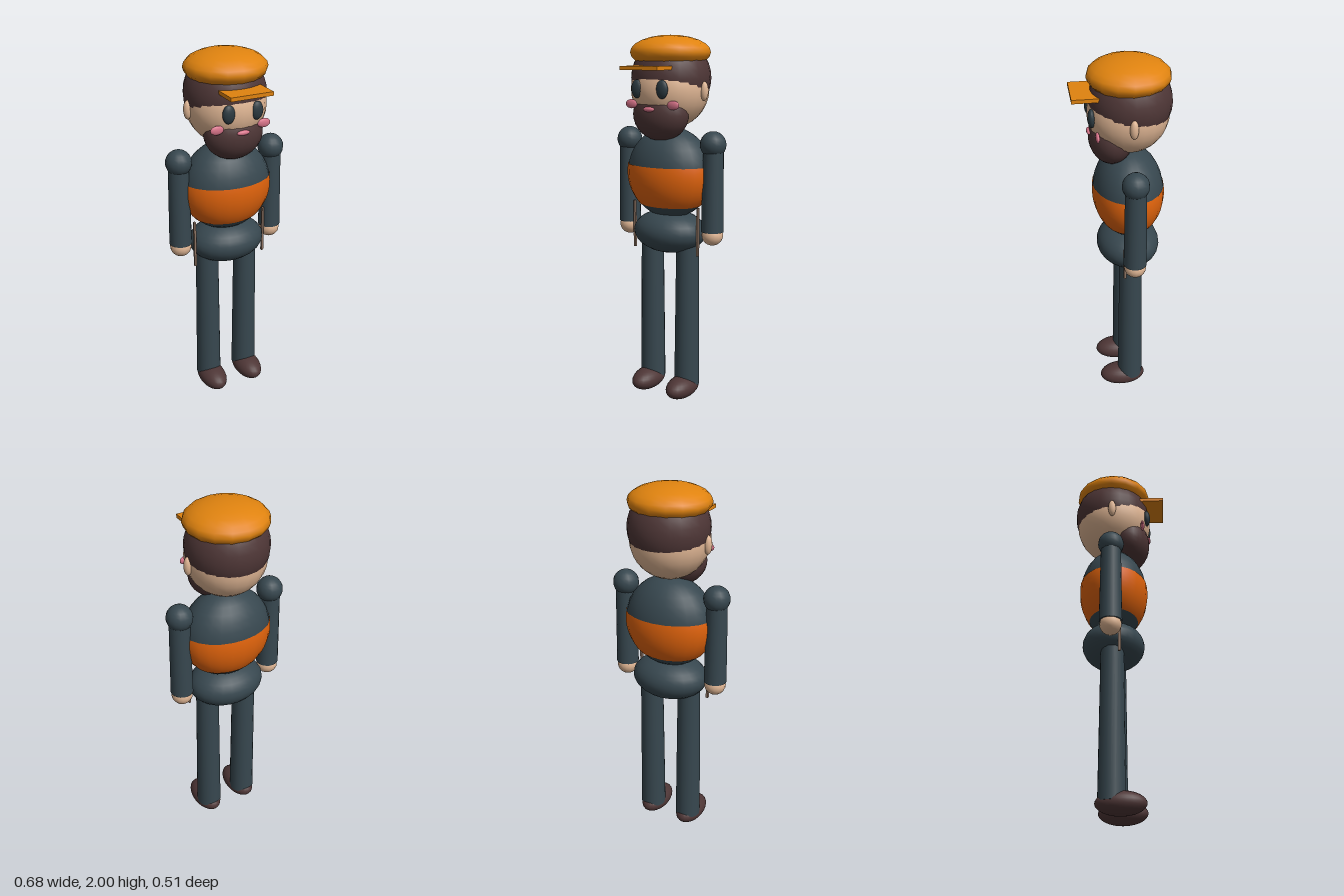
import * as THREE from 'three';

const mat = (name, color) => {
  const m = new THREE.MeshStandardMaterial({ color });
  m.name = name;
  return m;
};

export function createModel() {
  const slate = mat('slate cloth', 0x37474f);
  const vest = mat('orange vest', 0xe0630c);
  const hatMat = mat('amber cap', 0xe0830f);
  const skin = mat('skin', 0xe0b694);
  const brown = mat('dark brown', 0x4e3636);
  const pink = mat('pink', 0xd9748a);
  const eyeMat = mat('dark eye', 0x2c3a41);
  const wood = mat('wood', 0x8d7362);

  const group = new THREE.Group();
  const Z = -0.035; // body axis

  const add = (name, geometry, material, x, y, z) => {
    const mesh = new THREE.Mesh(geometry, material);
    mesh.name = name;
    mesh.position.set(x, y, z);
    group.add(mesh);
    return mesh;
  };
  const ball = (name, material, [x, y, z], [rx, ry, rz], w = 24, h = 16) =>
    add(name, new THREE.SphereGeometry(1, w, h).scale(rx, ry, rz), material, x, y, z);

  // Torso with a vest band cut from the same ellipsoid
  ball('torso', slate, [0, 1.27, Z], [0.248, 0.25, 0.187]);
  const bandTop = Math.acos((1.317 - 1.27) / 0.25);
  const bandBottom = Math.acos((1.095 - 1.27) / 0.25);
  const band = new THREE.SphereGeometry(1, 24, 8, 0, Math.PI * 2, bandTop, bandBottom - bandTop);
  const bandMesh = add('vestBand', band.scale(0.252, 0.25, 0.19), vest, 0, 1.27, Z);
  bandMesh.material.side = THREE.DoubleSide;
  ball('hips', slate, [0, 0.945, Z], [0.212, 0.12, 0.17]);

  // Head, hair and beard
  ball('head', skin, [0, 1.72, Z], [0.21, 0.21, 0.21]);
  ball('hair', brown, [0, 1.777, -0.045], [0.215, 0.212, 0.212]);
  ball('beard', brown, [0, 1.59, 0.053], [0.16, 0.14, 0.117]);
  ball('mouth', pink, [0, 1.622, 0.166], [0.036, 0.013, 0.012], 16, 10);

  // Cap
  ball('cap', hatMat, [0, 1.91, -0.037], [0.218, 0.09, 0.212], 16, 12);
  add('capVisor', new THREE.BoxGeometry(0.23, 0.02, 0.16), hatMat, 0, 1.832, 0.176);

  // Mirrored parts
  for (const [side, s] of [['left', 1], ['right', -1]]) {
    ball(side + 'Eye', eyeMat, [s * 0.078, 1.725, 0.158], [0.034, 0.048, 0.02], 16, 12);
    ball(side + 'Cheek', pink, [s * 0.131, 1.645, 0.135], [0.037, 0.024, 0.011], 16, 10);
    ball(side + 'Ear', skin, [s * 0.213, 1.713, -0.034], [0.022, 0.05, 0.022], 12, 10);

    ball(side + 'Shoulder', slate, [s * 0.27, 1.438, Z], [0.07, 0.07, 0.07], 16, 12);
    add(side + 'Arm', new THREE.CylinderGeometry(0.054, 0.061, 0.467, 20), slate, s * 0.272, 1.2065, Z);
    ball(side + 'Hand', skin, [s * 0.272, 0.953, Z], [0.058, 0.056, 0.058], 16, 12);
    add(side + 'Rod', new THREE.BoxGeometry(0.012, 0.265, 0.014), wood, s * 0.207, 0.968, 0.008);

    add(side + 'Leg', new THREE.CylinderGeometry(0.062, 0.071, 0.85, 20), slate, s * 0.116, 0.495, Z);
    ball(side + 'Shoe', brown, [s * 0.116, 0.063, 0.01], [0.075, 0.062, 0.13]);
  }
  return group;
}
